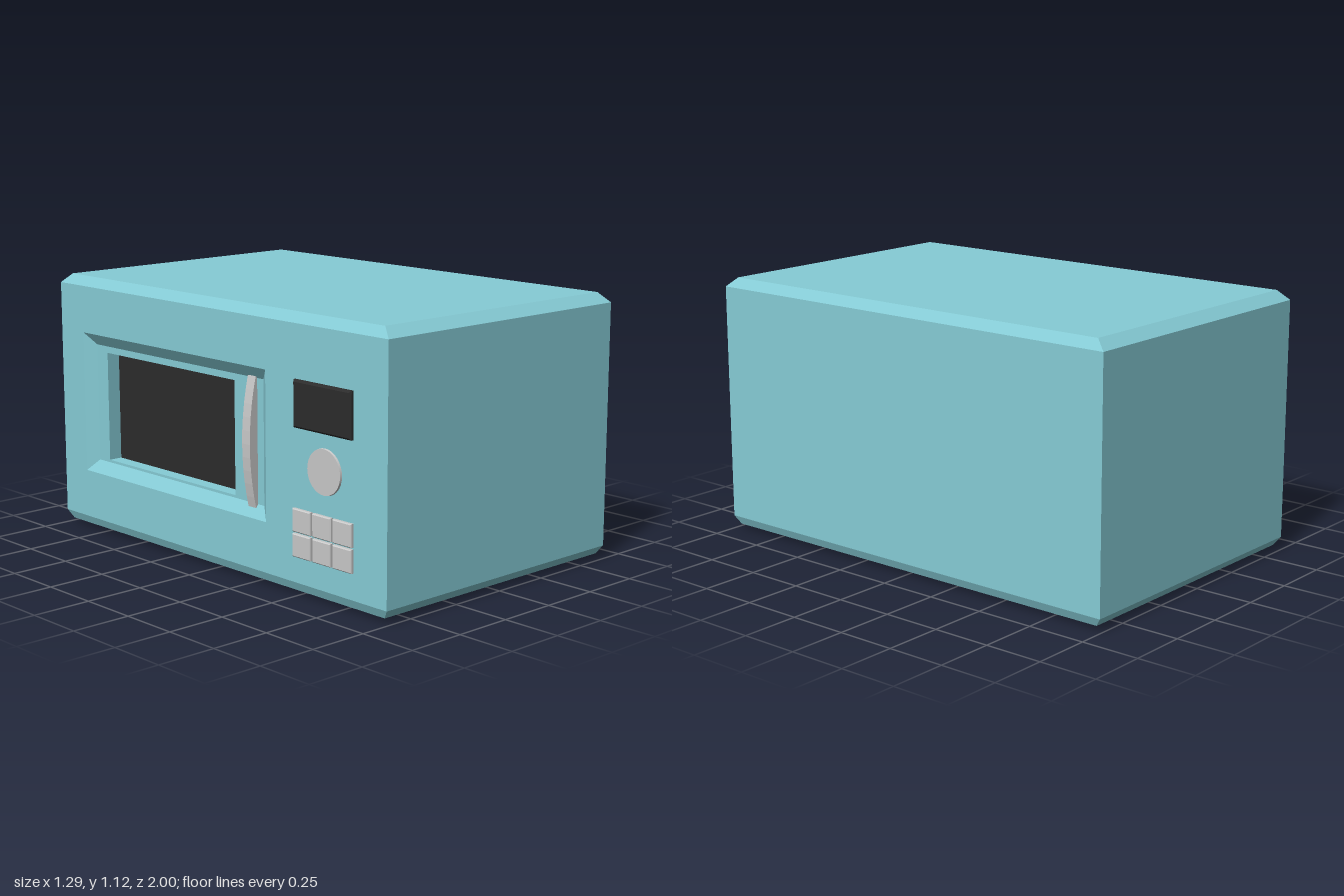
import * as THREE from 'three';

const material = (name, color) => {
  const m = new THREE.MeshStandardMaterial({ color });
  m.name = name;
  return m;
};

// Rectangle in the horizontal plane, counter-clockwise from above
const flatRect = (y, x0, x1, z0, z1) => [[x0, y, z1], [x1, y, z1], [x1, y, z0], [x0, y, z0]];
// Rectangle facing -x, counter-clockwise from that side
const panelRect = (x, z0, z1, y0, y1) => [[x, y0, z0], [x, y0, z1], [x, y1, z1], [x, y1, z0]];

// Joins rectangles into flat quads; skip(ring, side) leaves a side open
function loft(rings, { capEnd = false, capStart = false, skip = () => false } = {}) {
  const points = [];
  const quad = (a, b, c, d) => points.push(...a, ...b, ...c, ...a, ...c, ...d);
  for (let r = 0; r < rings.length - 1; r++) {
    const a = rings[r], b = rings[r + 1];
    for (let i = 0; i < 4; i++) {
      const j = (i + 1) % 4;
      if (!skip(r, i)) quad(a[i], a[j], b[j], b[i]);
    }
  }
  if (capEnd) quad(...rings[rings.length - 1]);
  if (capStart) quad(...[...rings[0]].reverse());
  const g = new THREE.BufferGeometry();
  g.setAttribute('position', new THREE.Float32BufferAttribute(points, 3));
  g.computeVertexNormals();
  return g;
}

export function createModel() {
  const group = new THREE.Group();
  group.name = 'microwaveOven';
  const teal = material('teal casing', 0x86ccd6);
  const black = material('black glass', 0x2c2c2c);
  const grey = material('light grey metal', 0xc8c8c8);
  const rubber = material('dark grey rubber', 0x837b7b);

  const add = (name, geometry, mat) => {
    const mesh = new THREE.Mesh(geometry, mat);
    mesh.name = name;
    group.add(mesh);
    return mesh;
  };

  const X0 = -0.628, X1 = 0.645;

  // Casing with chamfered top and bottom, open on the door side
  add('casing', loft([
    flatRect(0.02, X0 + 0.017, X1 - 0.017, -0.973, 0.973),
    flatRect(0.057, X0, X1, -1, 1),
    flatRect(1.075, X0, X1, -1, 1),
    flatRect(1.115, X0 + 0.03, X1 - 0.03, -0.953, 0.953),
  ], { capStart: true, capEnd: true, skip: (r, i) => r === 1 && i === 3 }), teal);

  // Door side: panel, sloped door recess, door and window well
  const doorX = X0 + 0.035, glassX = doorX + 0.06;
  add('doorPanel', loft([
    panelRect(X0, -1, 1, 0.057, 1.075),
    panelRect(X0, -0.845, 0.333, 0.264, 0.873),
    panelRect(doorX, -0.795, 0.283, 0.314, 0.823),
    panelRect(doorX, -0.723, 0.109, 0.325, 0.795),
    panelRect(glassX, -0.723, 0.109, 0.325, 0.795),
  ]), teal);
  add('windowGlass', loft([panelRect(glassX, -0.723, 0.109, 0.325, 0.795)], { capEnd: true }), black);

  // Bowed door handle
  const bow = new THREE.Shape();
  bow.moveTo(doorX + 0.005, 0.29);
  bow.lineTo(doorX - 0.008, 0.29);
  bow.quadraticCurveTo(-0.667, 0.56, doorX - 0.008, 0.83);
  bow.lineTo(doorX + 0.005, 0.83);
  bow.closePath();
  const handle = new THREE.ExtrudeGeometry(bow, { depth: 0.046, bevelEnabled: false, curveSegments: 10 });
  handle.translate(0, 0, 0.2);
  add('doorHandle', handle, grey);

  // Raised block with a small bevel on the control side
  const key = (name, z0, z1, y0, y1, out, bevel, mat) => add(name, loft([
    panelRect(X0, z0, z1, y0, y1),
    panelRect(X0 - out + bevel, z0, z1, y0, y1),
    panelRect(X0 - out, z0 + bevel, z1 - bevel, y0 + bevel, y1 - bevel),
  ], { capEnd: true }), mat);

  key('display', 0.505, 0.822, 0.675, 0.862, 0.018, 0.008, black);
  for (let row = 0; row < 2; row++) {
    for (let col = 0; col < 3; col++) {
      const z = 0.498 + col * 0.112, y = 0.164 + row * 0.1;
      key(`button${row * 3 + col + 1}`, z, z + 0.102, y, y + 0.093, 0.015, 0.004, grey);
    }
  }

  // Round control knob
  const knob = new THREE.CylinderGeometry(0.09, 0.092, 0.012, 32);
  knob.rotateZ(Math.PI / 2);
  knob.translate(X0 - 0.003, 0.527, 0.67);
  add('knob', knob, grey);

  // Four tapered feet
  for (const x of [-0.442, 0.462]) {
    for (const z of [-0.825, 0.82]) {
      const ring = (y, h) => flatRect(y, x - h, x + h, z - h, z + h).reverse();
      add('foot', loft([ring(0.021, 0.081), ring(0, 0.066)], { capEnd: true }), rubber);
    }
  }
  return group;
}
